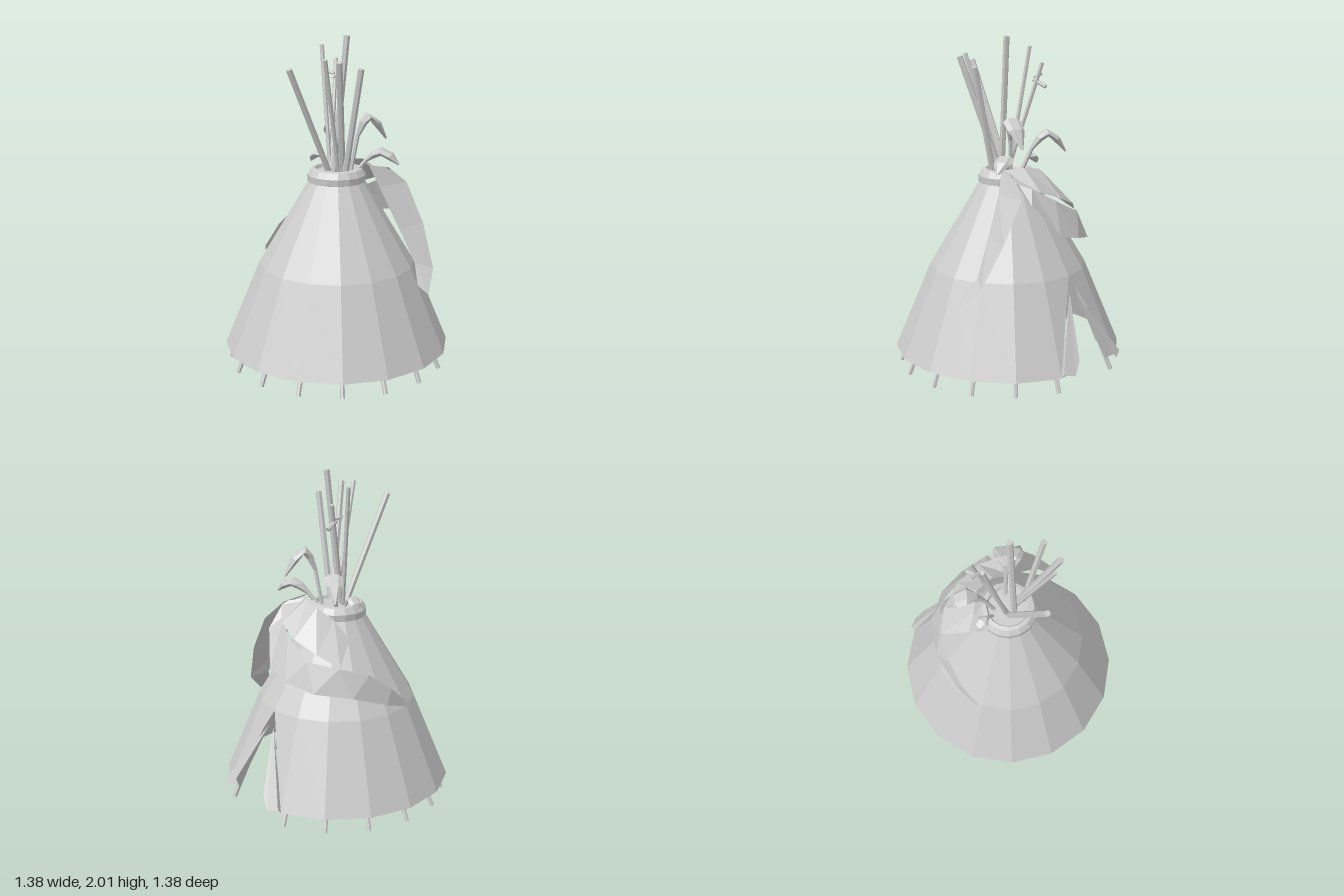
import * as THREE from 'three';

const hide = new THREE.MeshStandardMaterial({ color: 0xcccccc, flatShading: true, side: THREE.DoubleSide });
hide.name = 'pale grey';
const V = (a) => new THREE.Vector3(...a);

function add(group, name, geometry) {
  const mesh = new THREE.Mesh(geometry, hide);
  mesh.name = name;
  group.add(mesh);
  return mesh;
}

// Straight six-sided rod between two points
function rod(group, name, from, to, radius) {
  const a = V(from), b = V(to), dir = b.clone().sub(a);
  const mesh = add(group, name, new THREE.CylinderGeometry(radius, radius, dir.length(), 6));
  mesh.position.copy(a).add(b).multiplyScalar(0.5);
  mesh.quaternion.setFromUnitVectors(new THREE.Vector3(0, 1, 0), dir.normalize());
}

// Grid of faces between successive rows of points
function loft(rows, closed = false) {
  const pos = [], n = rows[0].length;
  for (let i = 0; i < rows.length - 1; i++) {
    for (let j = 0; j < (closed ? n : n - 1); j++) {
      const k = (j + 1) % n;
      const a = rows[i][j], b = rows[i][k], c = rows[i + 1][k], d = rows[i + 1][j];
      for (const p of [a, b, c, a, c, d]) pos.push(...p);
    }
  }
  const g = new THREE.BufferGeometry();
  g.setAttribute('position', new THREE.Float32BufferAttribute(pos, 3));
  g.computeVertexNormals();
  return g;
}

// Drooping leaf on a thin stem, lofted from flattened hexagons
function leaf(points, scale) {
  const curve = new THREE.CatmullRomCurve3(points.map(V));
  const widths = [[0, 0.012], [0.3, 0.013], [0.48, 0.03], [0.64, 0.055], [0.82, 0.05], [1, 0.006]];
  const rows = widths.map(([t, w]) => {
    const p = curve.getPoint(t), tan = curve.getTangent(t);
    const first = V(points[0]), last = V(points[points.length - 1]);
    const side = new THREE.Vector3(last.z - first.z, 0, first.x - last.x).normalize();
    const up = side.clone().cross(tan).normalize();
    return [0, 1, 2, 3, 4, 5].map((i) => {
      const a = (i * Math.PI) / 3;
      return p.clone().addScaledVector(side, Math.cos(a) * w * scale)
        .addScaledVector(up, Math.sin(a) * Math.min(w, 0.024) * scale).toArray();
    });
  });
  return loft(rows, true);
}

export function createModel() {
  const tent = new THREE.Group();
  tent.name = 'tent';
  const ring = (r, y, i) => [r * Math.sin((i * Math.PI) / 8), y, r * Math.cos((i * Math.PI) / 8)];

  // Sixteen-sided cover, with the back doorway left out of the lower half
  const lathe = (pts, ...rest) => new THREE.LatheGeometry(pts.map((p) => new THREE.Vector2(...p)), ...rest);
  add(tent, 'upperCover', lathe([[0.475, 0.62], [0.165, 1.14]], 16));
  add(tent, 'lowerCover', lathe([[0.69, 0.1], [0.475, 0.62]], 14, Math.PI * 1.125, Math.PI * 1.75));
  for (const i of [7, 9]) {
    add(tent, 'doorwaySide', loft([[ring(0.475, 0.62, 8), ring(0.475, 0.62, 8)],
      [ring(0.475, 0.62, i), ring(0.69, 0.1, i)]]));
  }

  // Collar around the smoke hole, closed on top
  add(tent, 'collar', lathe([[0.15, 1.12], [0.175, 1.13], [0.178, 1.17], [0.155, 1.205],
    [0.13, 1.21], [0.12, 1.19], [0, 1.19]], 16));

  // Folded-back door flaps
  for (const s of [-1, 1]) {
    const foot = [[0.265, 0.1, -0.63], [0.27, 0.13, -0.66], [0.2, 0.11, -0.69], [0.14, 0.18, -0.67], [0.17, 0.1, -0.63]];
    const mirrored = foot.map(([x, y, z]) => [x * s, y, z]);
    add(tent, 'doorFlap', loft([foot.map(() => [0.02 * s, 0.53, -0.5]), mirrored], true));
  }

  // Lower frame poles along the inside of the cover
  for (let i = 0; i < 16; i++) {
    if (i !== 8) rod(tent, 'framePole', ring(0.66, 0, i), ring(0.22, 1.02, i), 0.014);
  }

  // Upper poles fanning out of the smoke hole
  const poles = [
    [[-0.03, 1.15, 0.02], [-0.06, 1.83, 0.34]],
    [[0.05, 1.15, 0.0], [0.2, 1.88, 0.2]],
    [[0.03, 1.15, 0.01], [0.12, 1.89, 0.23]],
    [[0.09, 1.15, 0.03], [0.235, 1.83, 0.05]],
    [[0.01, 1.15, 0.04], [0.05, 2.0, -0.035]],
    [[-0.03, 1.15, 0.02], [-0.155, 1.93, -0.04]],
    [[-0.02, 1.15, 0.03], [-0.14, 1.84, -0.15]],
  ];
  poles.forEach(([a, b], i) => rod(tent, 'topPole', a, b, i === 2 || i > 4 ? 0.013 : 0.019));
  rod(tent, 'twig', [-0.12, 1.74, -0.1], [-0.14, 1.7, -0.18], 0.013);
  rod(tent, 'twig', [-0.12, 1.75, -0.11], [-0.18, 1.77, -0.11], 0.011);

  // Leaves sprouting behind the poles
  const leaves = [
    [[[0.05, 1.17, -0.07], [0.09, 1.42, -0.1], [0.13, 1.52, -0.15], [0.17, 1.37, -0.26]], 1],
    [[[-0.06, 1.17, -0.05], [-0.11, 1.34, -0.11], [-0.18, 1.42, -0.17], [-0.27, 1.3, -0.23]], 1],
    [[[0.08, 1.17, -0.07], [0.14, 1.26, -0.12], [0.22, 1.31, -0.17], [0.32, 1.24, -0.2]], 1],
    [[[-0.09, 1.17, -0.03], [-0.14, 1.25, -0.03], [-0.19, 1.26, -0.03], [-0.24, 1.21, -0.03]], 0.75],
  ];
  for (const [pts, scale] of leaves) add(tent, 'leaf', leaf(pts, scale));

  // Scarf swept round the back to the right side: rows run upper edge, lower edge
  add(tent, 'scarf', loft([
    [[0.13, 1.22, -0.13], [0.22, 1.2, -0.23]],
    [[0.13, 1.14, -0.3], [0.2, 1.06, -0.36]],
    [[0.0, 1.06, -0.37], [0.06, 0.87, -0.46]],
    [[-0.2, 0.96, -0.38], [-0.1, 0.83, -0.47]],
    [[-0.34, 0.93, -0.26], [-0.28, 0.79, -0.4]],
    [[-0.42, 0.88, -0.1], [-0.42, 0.76, -0.22]],
    [[-0.46, 0.77, 0.04], [-0.47, 0.68, 0.0]],
    [[-0.45, 0.66, 0.17], [-0.46, 0.63, 0.16]],
  ]));

  // Upper fold of the scarf against the collar
  add(tent, 'scarfFold', loft([
    [[0.16, 1.23, -0.1], [0.22, 1.18, -0.25]],
    [[0.06, 1.24, -0.18], [0.1, 1.12, -0.34]],
    [[-0.06, 1.22, -0.2], [-0.06, 1.06, -0.37]],
    [[-0.15, 1.15, -0.14], [-0.22, 1.0, -0.33]],
    [[-0.24, 1.05, -0.1], [-0.34, 0.93, -0.25]],
  ]));

  // Scarf tail hanging down the left side
  add(tent, 'scarfTail', loft([
    [[0.17, 1.23, -0.1], [0.21, 1.2, -0.24]],
    [[0.23, 1.1, -0.13], [0.27, 1.1, -0.34]],
    [[0.36, 0.86, -0.16], [0.41, 0.87, -0.33]],
    [[0.47, 0.66, -0.18], [0.54, 0.62, -0.27]],
    [[0.54, 0.55, -0.12], [0.6, 0.5, -0.15]],
  ]));
  return tent;
}
